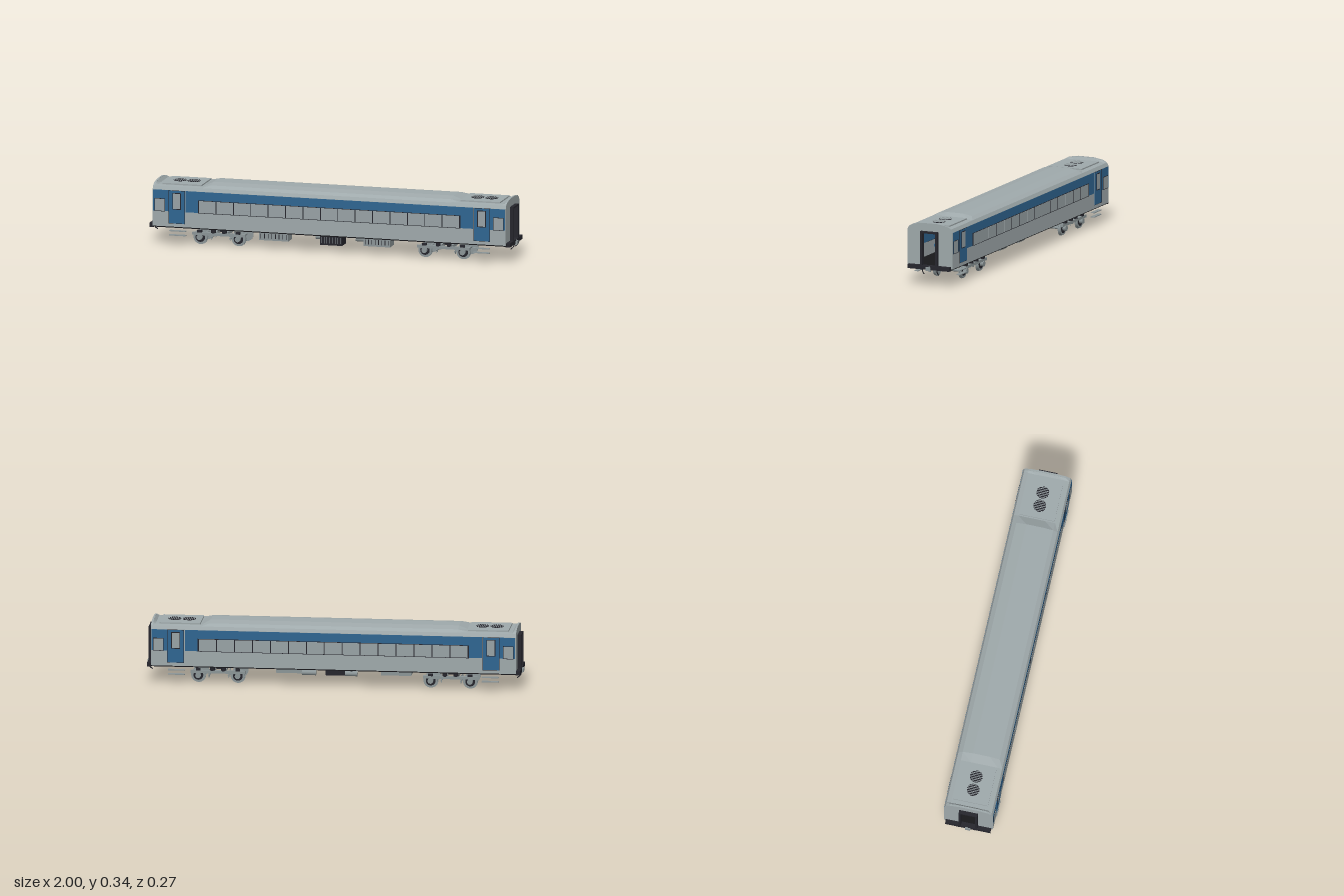
import * as THREE from 'three';

const mat = (name, color, side = THREE.FrontSide) => {
  const m = new THREE.MeshStandardMaterial({ color, side });
  m.name = name;
  return m;
};

export function createModel() {
  const steel = mat('body grey', 0x9fa9ab, THREE.DoubleSide);
  const metal = mat('running gear grey', 0x8b9597);
  const glass = mat('window grey', 0x98a2a5);
  const blue = mat('stripe blue', 0x2f6591);
  const dark = mat('dark trim', 0x26262d);
  const black = mat('underframe black', 0x18181b);

  const model = new THREE.Group();
  model.name = 'passengerCar';

  const add = (parent, name, geo, material, x = 0, y = 0, z = 0) => {
    const m = new THREE.Mesh(geo, material);
    m.name = name;
    m.position.set(x, y, z);
    parent.add(m);
    return m;
  };
  // box given by its extents
  const box = (parent, name, material, x0, x1, y0, y1, z0, z1) =>
    add(parent, name, new THREE.BoxGeometry(x1 - x0, y1 - y0, z1 - z0), material,
      (x0 + x1) / 2, (y0 + y1) / 2, (z0 + z1) / 2);
  // cylinder lying along x, y or z
  const rod = (parent, name, material, axis, r, len, x, y, z, n = 16) => {
    const g = new THREE.CylinderGeometry(r, r, len, n);
    if (axis === 'x') g.rotateZ(Math.PI / 2);
    if (axis === 'z') g.rotateX(Math.PI / 2);
    return add(parent, name, g, material, x, y, z);
  };
  const group = (name, x = 0) => {
    const g = new THREE.Group();
    g.name = name;
    g.position.x = x;
    model.add(g);
    return g;
  };

  // half of the body section as [z, y], mirrored to a full arch
  const half = [[0.132, 0.098], [0.132, 0.295], [0.123, 0.313], [0.1, 0.326], [0.045, 0.335]];
  const arch = [...half, ...half.slice().reverse().map(([z, y]) => [-z, y])];

  // side walls and roof, lofted along x with the roof cut down over the ends
  const stations = [[-0.97, 0.34], [-0.962, 0.34], [-0.95, 0.317], [-0.705, 0.317], [-0.66, 0.34],
    [0.66, 0.34], [0.705, 0.317], [0.95, 0.317], [0.962, 0.34], [0.97, 0.34]];
  const pos = [];
  const index = [];
  stations.forEach(([x, cap], s) => arch.forEach(([z, y], i) => {
    pos.push(x, Math.min(y, cap), z);
    if (s && i) {
      const b = s * arch.length + i, a = b - arch.length;
      index.push(a - 1, b - 1, b, a - 1, b, a);
    }
  }));
  let shell = new THREE.BufferGeometry();
  shell.setAttribute('position', new THREE.Float32BufferAttribute(pos, 3));
  shell.setIndex(index);
  shell = shell.toNonIndexed();
  shell.computeVertexNormals();
  add(model, 'bodyShell', shell, steel);

  // upright plate in the z-y plane with a doorway through it
  const doorPlate = (name, outline, hw, y0, y1, depth, material, x) => {
    const shape = new THREE.Shape(outline.map(([z, y]) => new THREE.Vector2(z, y)));
    shape.holes.push(new THREE.Path([[-hw, y0], [-hw, y1], [hw, y1], [hw, y0]]
      .map(([z, y]) => new THREE.Vector2(z, y))));
    const g = new THREE.ExtrudeGeometry(shape, { depth, bevelEnabled: false });
    g.translate(0, 0, -depth / 2);
    g.rotateY(Math.PI / 2);
    add(model, name, g, material, x);
  };

  // underframe
  box(model, 'underframe', black, -0.972, 0.972, 0.091, 0.109, -0.124, 0.124);

  for (const e of [-1, 1]) {
    // end wall, gangway frame and buffer beam
    doorPlate('endWall', arch, 0.04, 0.108, 0.286, 0.01, steel, e * 0.966);
    const frame = [[0.05, 0.108], [0.05, 0.292], [-0.05, 0.292], [-0.05, 0.108]];
    doorPlate('gangwayFrame', frame, 0.038, 0.11, 0.283, 0.024, dark, e * 0.979);
    const end = group('coupling', e * 0.98);
    box(end, 'bufferBeam', dark, -0.012, 0.012, 0.088, 0.11, -0.122, 0.122);
    box(end, 'coupler', metal, -0.02, 0.02, 0.084, 0.103, -0.014, 0.014);
    rod(end, 'couplerPin', metal, 'y', 0.006, 0.03, e * 0.008, 0.093, -0.006);
    for (const z of [-0.05, 0.035]) {
      const hose = new THREE.CatmullRomCurve3([[0.012, 0.095], [0.008, 0.078], [-0.01, 0.06]]
        .map(([x, y]) => new THREE.Vector3(e * x, y, z)));
      add(end, 'brakeHose', new THREE.TubeGeometry(hose, 8, 0.003, 6), dark);
    }

    // roof ventilation unit with two round grilles
    const vent = group('roofUnit', e * 0.82);
    box(vent, 'roofUnitCover', steel, -0.108, 0.108, 0.312, 0.324, -0.095, 0.095);
    for (const fx of [-0.04, 0.037]) {
      const x = fx * e;
      rod(vent, 'fanGrille', dark, 'y', 0.034, 0.004, x, 0.325, 0, 24);
      for (let i = -3; i <= 3; i++) {
        const h = Math.sqrt(0.034 ** 2 - (i * 0.0095) ** 2);
        box(vent, 'fanSlat', steel, x + i * 0.0095 - 0.0015, x + i * 0.0095 + 0.0015, 0.326, 0.3285, -h, h);
      }
    }
  }

  for (const s of [-1, 1]) {
    // thin plate on a side wall; layer sets how far it stands out
    const plate = (name, material, x0, x1, y0, y1, layer) => {
      const a = s * 0.131, b = s * (0.1325 + layer * 0.0008);
      box(model, name, material, x0, x1, y0, y1, Math.min(a, b), Math.max(a, b));
    };
    // blue band and main window strip
    plate('blueBand', blue, -0.79, 0.79, 0.18, 0.294, 0);
    plate('windowSurround', dark, -0.722, 0.722, 0.178, 0.248, 1);
    for (let i = 0; i < 15; i++) {
      const x = (i - 7) * 0.0957;
      plate('window', glass, x - 0.0452, x + 0.0452, 0.181, 0.245, 2);
    }
    for (const e of [-1, 1]) {
      const span = (name, m, a, b, y0, y1, l) =>
        plate(name, m, Math.min(e * a, e * b), Math.max(e * a, e * b), y0, y1, l);
      // end window panel
      span('endBand', blue, 0.884, 0.968, 0.18, 0.294, 0);
      span('endWindowFrame', dark, 0.902, 0.96, 0.178, 0.248, 1);
      span('endWindow', glass, 0.905, 0.957, 0.181, 0.245, 2);
      // entrance door
      span('doorFrame', dark, 0.793, 0.884, 0.115, 0.294, 0.3);
      span('door', blue, 0.796, 0.881, 0.117, 0.292, 1);
      span('doorWindowFrame', dark, 0.815, 0.862, 0.191, 0.281, 2);
      span('doorWindow', glass, 0.819, 0.858, 0.195, 0.277, 3);
      // boarding steps
      for (const y of [0.052, 0.075]) {
        box(model, 'step', metal, e * 0.835 - 0.045, e * 0.835 + 0.045, y - 0.002, y + 0.002,
          s * 0.123 - 0.011, s * 0.123 + 0.011);
      }
    }
  }

  // bogies
  for (const e of [-1, 1]) {
    const bogie = group('bogie', e * 0.618);
    for (const ax of [-0.105, 0.105]) {
      rod(bogie, 'axle', metal, 'z', 0.007, 0.2, ax, 0.04, 0);
      for (const s of [-1, 1]) {
        rod(bogie, 'wheel', metal, 'z', 0.037, 0.012, ax, 0.04, s * 0.076, 28);
        rod(bogie, 'wheelFlange', metal, 'z', 0.04, 0.004, ax, 0.04, s * 0.07, 28);
        rod(bogie, 'wheelDish', dark, 'z', 0.026, 0.002, ax, 0.04, s * 0.082, 24);
        rod(bogie, 'axleBox', metal, 'z', 0.015, 0.022, ax, 0.042, s * 0.091);
        box(bogie, 'axleSpring', dark, ax - 0.012, ax + 0.012, 0.068, 0.08, s * 0.093 - 0.007, s * 0.093 + 0.007);
      }
      // brake beam and hangers
      const bx = ax * 0.5;
      rod(bogie, 'brakeBeam', metal, 'z', 0.004, 0.13, bx, 0.035, 0, 8);
      for (const z of [-0.048, -0.024, 0.024, 0.048]) {
        rod(bogie, 'brakeHanger', metal, 'y', 0.0018, 0.04, bx, 0.041, z, 6);
      }
    }
    for (const s of [-1, 1]) {
      box(bogie, 'sideFrame', metal, -0.145, 0.145, 0.054, 0.069, s * 0.091 - 0.008, s * 0.091 + 0.008);
      for (const x of [-0.03, 0.03]) {
        rod(bogie, 'bolsterSpring', dark, 'y', 0.013, 0.026, x, 0.08, s * 0.088, 12);
      }
    }
    for (const x of [-0.03, 0.03]) {
      box(bogie, 'crossBeam', metal, x - 0.011, x + 0.011, 0.054, 0.07, -0.09, 0.09);
    }
    rod(bogie, 'centrePivot', dark, 'y', 0.02, 0.035, 0, 0.078, 0);
  }

  // equipment boxes with ribbed fronts, hung under the floor
  const equipment = [[-0.4, -0.24, 0.042, metal, dark], [-0.065, 0.056, 0.035, dark, metal],
    [0.175, 0.32, 0.042, metal, dark]];
  for (const [x0, x1, y0, m, rib] of equipment) {
    box(model, 'equipmentBox', m, x0, x1, y0, 0.085, 0.006, 0.08);
    box(model, 'equipmentHanger', black, x0 + 0.01, x1 - 0.01, 0.08, 0.095, 0.02, 0.07);
    const n = 8, step = (x1 - x0) / n;
    for (let i = 0; i < n; i++) {
      const x = x0 + (i + 0.5) * step;
      box(model, 'equipmentRib', rib, x - 0.0015, x + 0.0015, y0 + 0.01, 0.078, 0.079, 0.082);
    }
  }
  for (const [x, len] of [[-0.085, 0.065], [0.14, 0.075]]) {
    rod(model, 'airTank', metal, 'x', 0.014, len, x, 0.056, -0.03);
    box(model, 'tankStrap', black, x - 0.006, x + 0.006, 0.066, 0.095, -0.034, -0.026);
  }

  // seats in rows beside the offset aisle
  for (let r = 0; r < 14; r++) {
    const x = (r - 6.5) * 0.1;
    for (const z of [-0.098, -0.058, -0.018, 0.06, 0.1]) {
      box(model, 'seatLeg', metal, x - 0.004, x + 0.004, 0.109, 0.147, z - 0.006, z + 0.002);
      box(model, 'seatCushion', blue, x - 0.02, x + 0.022, 0.145, 0.158, z - 0.0175, z + 0.0175);
      box(model, 'seatBack', blue, x - 0.028, x - 0.018, 0.15, 0.2, z - 0.0165, z + 0.0165);
      box(model, 'headrest', glass, x - 0.03, x - 0.016, 0.198, 0.21, z - 0.014, z + 0.014);
    }
  }
  return model;
}
